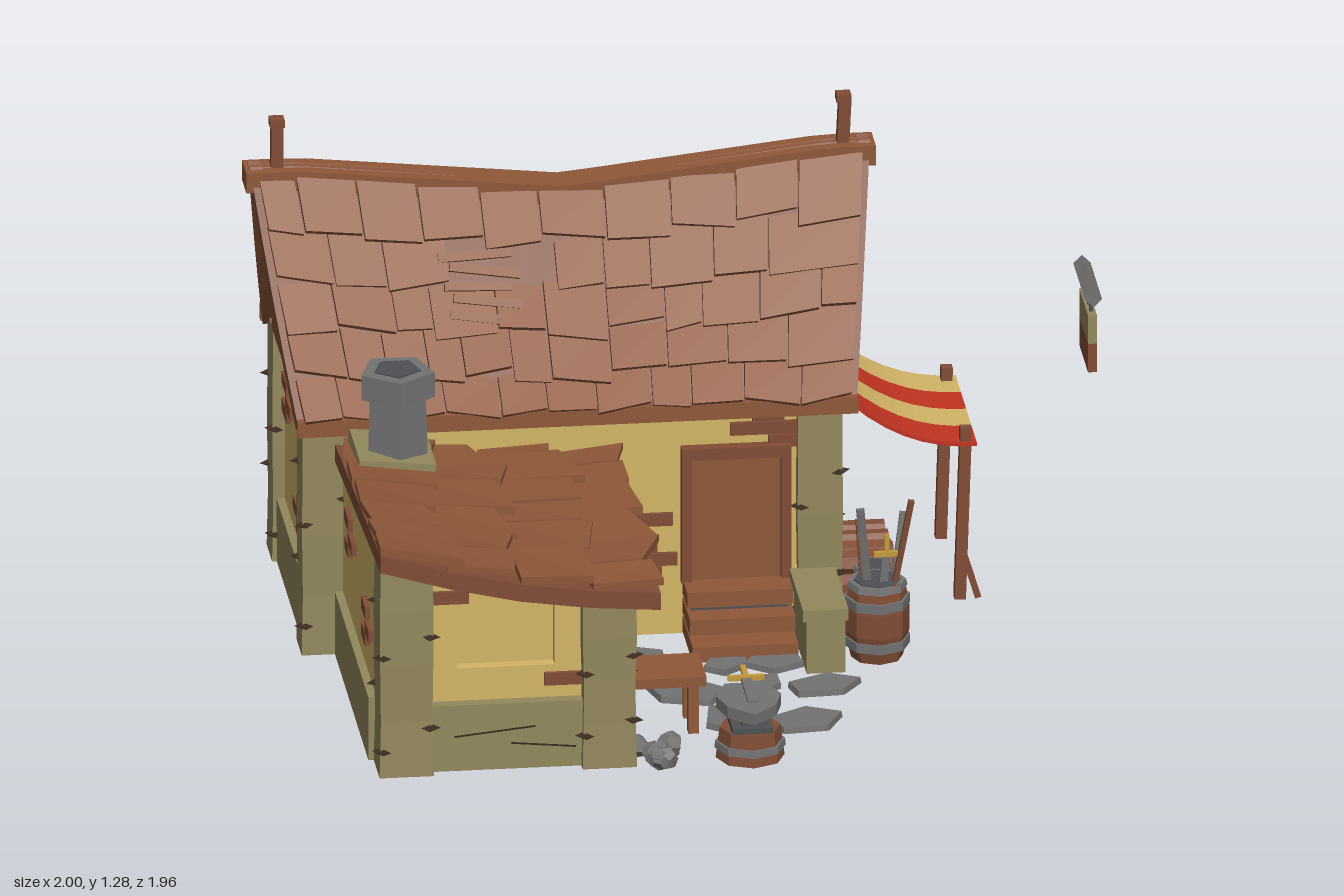
import * as THREE from 'three';
import { mergeGeometries } from 'three/addons/utils/BufferGeometryUtils.js';

const mat = (name, color, side = THREE.FrontSide) => new THREE.MeshStandardMaterial({ name, color, side });
const lerp = THREE.MathUtils.lerp;

export function createModel() {
  const shingle = mat('shingle brown', 0x8f5839), timber = mat('timber brown', 0x814d36),
    plaster = mat('plaster yellow', 0xd4b566, THREE.DoubleSide), oldWood = mat('weathered olive', 0x93885d),
    iron = mat('iron grey', 0x737373), darkIron = mat('dark iron', 0x4e5053),
    red = mat('red cloth', 0xc23422), gold = mat('gold', 0xc59a3c), crack = mat('dark crack', 0x3b2a1e);
  const model = new THREE.Group();
  let seed = 7;
  const rnd = () => ((seed = (seed * 16807) % 2147483647) / 2147483647);
  const jit = a => (rnd() - 0.5) * 2 * a;

  // Faceted geometry helpers
  const flat = g => { const f = g.index ? g.toNonIndexed() : g; f.computeVertexNormals(); return f; };
  const add = (name, material, ...geos) => {
    const m = new THREE.Mesh(mergeGeometries(geos.flat().map(flat)), material);
    m.name = name;
    model.add(m);
  };
  const place = (g, x, y, z, rx = 0, ry = 0, rz = 0) =>
    g.applyMatrix4(new THREE.Matrix4().makeRotationFromEuler(new THREE.Euler(rx, ry, rz)).setPosition(x, y, z));
  const bx = (w, h, d, x, y, z, rx, ry, rz) => place(new THREE.BoxGeometry(w, h, d), x, y, z, rx, ry, rz);
  const span = (x0, x1, y0, y1, z0, z1) => bx(x1 - x0, y1 - y0, z1 - z0, (x0 + x1) / 2, (y0 + y1) / 2, (z0 + z1) / 2);
  const cyl = (rt, rb, h, n, x, y, z, rx, ry, rz) => place(new THREE.CylinderGeometry(rt, rb, h, n), x, y, z, rx, ry, rz);
  const beam = (a, b, w, d = w) => {
    const A = new THREE.Vector3(...a), B = new THREE.Vector3(...b), dir = B.clone().sub(A);
    const g = new THREE.BoxGeometry(w, dir.length(), d);
    g.applyQuaternion(new THREE.Quaternion().setFromUnitVectors(new THREE.Vector3(0, 1, 0), dir.normalize()));
    return g.translate(...A.add(B).multiplyScalar(0.5).toArray());
  };
  const outline = pts => new THREE.Shape(pts.map(p => new THREE.Vector2(...p)));
  // Bends a box so that its sides follow the surface P(s, t, h)
  const warp = (P, s0, s1, t0, t1, h0, h1, ns = 1, nt = 1, lift = 0) => {
    const g = new THREE.BoxGeometry(1, 1, 1, ns, 1, nt).translate(0.5, 0.5, 0.5), p = g.attributes.position;
    for (let i = 0; i < p.count; i++) {
      const w = p.getZ(i);
      p.setXYZ(i, ...P(lerp(s0, s1, p.getX(i)), lerp(t0, t1, w), lerp(h0, h1, p.getY(i)) + lift * w));
    }
    return g;
  };
  // Rows of slightly crooked shingles
  const shingles = (P, rows, n, skip = () => false) => {
    const out = [];
    for (let r = 0; r < rows; r++) {
      let s = -1;
      while (s < 0.97) {
        let e = s + (2 / n) * (0.7 + rnd() * 0.6);
        if (e > 0.9) e = 1;
        const mid = (s + e) / 2, skew = jit(0.25);
        const Q = (a, t, h) => P(a, Math.max(0, t + skew * (a - mid)), h);
        if (!skip(mid, (r + 0.5) / rows))
          out.push(warp(Q, s + 0.004, e - 0.004, r / rows, Math.min((r + 1.12) / rows + jit(0.17 / rows), 1.0), 0, 0.014 + rnd() * 0.01, 1, 1, 0.02));
        s = e;
      }
    }
    return out;
  };

  // Main roof with sagging ridge
  const ridge = x => 1.05 + 0.07 * Math.min(1, Math.abs(x + 0.22) / 0.65);
  const slope = side => (s, t, h) => {
    const x = -0.225 + side * s * (0.745 - 0.07 * t);
    const y = lerp(ridge(x), 0.61, t) - 0.018 * Math.sin(Math.PI * t);
    return [x, y + h * 0.6, -0.33 + side * (0.03 + 0.345 * t + h * 0.8)];
  };
  for (const side of [1, -1]) {
    const P = slope(side), gap = (s, t) => side > 0 && s > -0.42 && s < -0.12 && t > 0.25 && t < 0.48;
    add('roofBoards', timber, warp(P, -1, 1, -0.05, 1, -0.025, 0, 16, 4));
    add('roofShingles', shingle, shingles(P, 5, 11.5, gap));
    for (const e of [-1, 1]) add('bargeBoard', timber, warp(P, e - 0.02, e + 0.02, -0.05, 1, -0.036, 0.008, 1, 4));
    add('eaveBoard', shingle, bx(1.38, 0.042, 0.02, -0.225, 0.606, -0.33 + side * 0.385));
  }
  add('exposedSlats', shingle, [0, 1, 2, 3, 4].map(i =>
    bx(0.15 + jit(0.03), 0.022, 0.02, -0.44 + jit(0.02), 0.82 + i * 0.032, -0.09 - i * 0.022, -0.5, 0, jit(0.15))));
  add('ridgeBeam', shingle, warp((s, t, h) => [s, ridge(s) + h, -0.33 + t], -1, 0.55, -0.046, 0.046, -0.025, 0.026, 20));
  add('ridgePosts', timber, [-0.92, 0.475].flatMap(x =>
    [bx(0.03, 0.16, 0.03, x, 1.18, -0.33, 0, 0, jit(0.05)), bx(0.036, 0.02, 0.036, x, 1.262, -0.33)]));

  // House walls, open underneath
  const gable = outline([[-0.66, 0], [0, 0], [0, 0.62], [-0.33, 1.1], [-0.66, 0.62]]);
  for (const x of [0.4, -0.84])
    add('gableWall', plaster, new THREE.ExtrudeGeometry(gable, { depth: 0.03, bevelEnabled: false }).rotateY(-Math.PI / 2).translate(x, 0, 0));
  add('frontWall', plaster, span(-0.86, 0.39, 0, 0.62, -0.03, 0));
  add('backWall', plaster, span(-0.86, 0.39, 0, 0.62, -0.66, -0.63));
  add('gableBeams', timber, span(0.39, 0.435, 0.61, 0.685, -0.6, -0.06), span(-0.9, -0.86, 0.61, 0.685, -0.6, -0.06));

  // Smithy walls with a recessed window
  const front = outline([[-0.8, 0], [-0.2, 0], [-0.2, 0.46], [-0.8, 0.58]]);
  front.holes.push(outline([[-0.61, 0.26], [-0.61, 0.42], [-0.37, 0.42], [-0.37, 0.26]]));
  add('smithyFrontWall', plaster, new THREE.ExtrudeGeometry(front, { depth: 0.03, bevelEnabled: false }).translate(0, 0, 0.77));
  add('smithyWindowPane', plaster, span(-0.62, -0.36, 0.25, 0.43, 0.765, 0.77));
  add('smithySideWall', plaster, span(-0.8, -0.77, 0, 0.56, 0, 0.79));

  // Weathered corner posts with dark splits along the edges
  const post = (x, z, h, w = 0.11) => {
    const g = new THREE.BoxGeometry(w, h, w, 1, 4, 1).translate(x, h / 2, z), p = g.attributes.position;
    for (let i = 0; i < p.count; i++) {
      const k = 1 + 0.03 * Math.cos(p.getY(i) * 17);
      p.setXYZ(i, x + (p.getX(i) - x) * k, p.getY(i), z + (p.getZ(i) - z) * k);
    }
    add('cornerPost', oldWood, g);
    const marks = [];
    for (let i = 0; i < 8; i++) {
      const e = i % 2 ? 1 : -1, f = i % 4 < 2 ? 1 : -1;
      marks.push(place(new THREE.OctahedronGeometry(1).scale(0.028, 0.012, 0.028),
        x + e * (w / 2 - 0.008), 0.08 + (i / 8) * (h - 0.1) + jit(0.02), z + f * (w / 2 - 0.008), 0, 0, jit(0.2)));
    }
    add('postSplits', crack, marks);
  };
  post(0.375, -0.02, 0.62); post(0.375, -0.635, 0.61); post(-0.845, -0.635, 0.61); post(-0.845, -0.02, 0.62);
  post(-0.74, 0.785, 0.58, 0.13); post(-0.24, 0.785, 0.46, 0.13);

  // Weathered base boards
  add('baseBoards', oldWood,
    span(0.395, 0.42, 0, 0.165, -0.6, -0.06), span(-0.89, -0.865, 0, 0.165, -0.6, -0.06),
    span(-0.8, 0.33, 0, 0.165, -0.685, -0.655), span(-0.82, -0.795, 0, 0.165, 0.03, 0.73), span(-0.69, -0.3, 0, 0.165, 0.795, 0.825),
    span(0.395, 0.425, 0.15, 0.18, -0.6, -0.06), span(-0.8, 0.33, 0.15, 0.18, -0.69, -0.655), span(-0.69, -0.3, 0.15, 0.175, 0.795, 0.832));
  add('boardGrain', crack, bx(0.2, 0.004, 0.004, -0.52, 0.1, 0.825, 0, 0, 0.1), bx(0.16, 0.004, 0.004, -0.4, 0.06, 0.825, 0, 0, -0.1),
    bx(0.4, 0.004, 0.004, -0.1, 0.09, -0.685, 0, 0, 0.03), bx(0.3, 0.004, 0.004, -0.55, 0.06, -0.685));

  // Exposed bricks: walls along x take [x, y], walls along z take [z, y]
  const bricks = (alongX, at, list) => add('bricks', timber, list.map(([a, y]) => {
    const w = 0.085 + jit(0.015);
    return alongX ? bx(w, 0.032, 0.02, a, y, at) : bx(0.02, 0.032, w, at, y, a);
  }));
  bricks(true, 0.002, [[-0.11, 0.27], [-0.03, 0.305], [-0.06, 0.235], [-0.11, 0.2], [-0.02, 0.2], [-0.06, 0.165], [0.2, 0.535], [0.28, 0.535], [0.25, 0.57], [0.3, 0.5], [-0.1, 0.13]]);
  bricks(true, 0.802, [[-0.62, 0.52], [-0.55, 0.485], [-0.63, 0.45], [-0.46, 0.485], [-0.35, 0.225], [-0.39, 0.465]]);
  bricks(false, 0.402, [[-0.14, 0.235], [-0.22, 0.235], [-0.18, 0.27], [-0.26, 0.27], [-0.22, 0.305], [-0.3, 0.305], [-0.27, 0.34], [-0.35, 0.34], [-0.32, 0.375], [-0.4, 0.375], [-0.37, 0.41], [-0.44, 0.41]]);
  bricks(true, -0.662, [[0.28, 0.5], [0.2, 0.465], [0.26, 0.43], [0.18, 0.5], [0.24, 0.27], [-0.5, 0.31], [-0.58, 0.345], [-0.52, 0.38], [-0.68, 0.28], [-0.6, 0.245], [-0.7, 0.5], [-0.63, 0.465], [-0.72, 0.43], [0.2, 0.235]]);
  bricks(false, -0.872, [[-0.5, 0.5], [-0.43, 0.465], [-0.5, 0.43], [-0.2, 0.3], [-0.27, 0.265], [-0.2, 0.23]]);
  bricks(false, -0.802, [[0.2, 0.42], [0.27, 0.385], [0.2, 0.35], [0.55, 0.26], [0.62, 0.295], [0.55, 0.33]]);

  // Window frames
  add('backWindowFrame', timber, span(-0.15, 0.07, 0.47, 0.5, -0.69, -0.655), span(-0.15, 0.07, 0.23, 0.26, -0.69, -0.655),
    span(-0.15, -0.12, 0.23, 0.49, -0.685, -0.655), span(0.035, 0.07, 0.23, 0.49, -0.685, -0.655));
  add('gableWindowFrame', timber, span(0.395, 0.42, 0.872, 0.89, -0.43, -0.23), span(0.395, 0.42, 0.775, 0.793, -0.43, -0.23),
    span(0.395, 0.415, 0.78, 0.88, -0.43, -0.415), span(0.395, 0.415, 0.78, 0.88, -0.245, -0.23));

  // Door, steps and low side wall
  add('door', shingle, span(0.055, 0.285, 0.14, 0.475, 0, 0.015));
  add('doorFrame', timber, span(0.035, 0.06, 0.14, 0.49, 0, 0.03), span(0.28, 0.305, 0.14, 0.49, 0, 0.03), span(0.035, 0.305, 0.465, 0.495, 0, 0.032));
  add('doorSteps', shingle, [0, 1, 2].map(i => span(0.04, 0.3, i * 0.05 + 0.005, i * 0.05 + 0.045, 0, 0.21 - i * 0.055)));
  add('stepSupport', darkIron, span(0.05, 0.29, 0, 0.1, 0, 0.09));
  add('stepWall', oldWood, span(0.31, 0.405, 0, 0.15, 0.03, 0.3), span(0.3, 0.412, 0.14, 0.17, 0.03, 0.31));

  // Smithy lean-to roof
  const lean = (s, t, h) => {
    const z = 0.49 - s * 0.487 - 0.04 * t * (1 - s);
    return [-0.82 + 0.7 * t, lerp(0.55 + 0.09 * z, 0.475, t) - 0.025 * Math.sin(Math.PI * t) + h, z];
  };
  add('smithyRoofBoards', timber, warp(lean, -1, 1, 0, 1, -0.045, 0, 6, 4));
  add('smithyShingles', shingle, shingles(lean, 4, 5.5));
  add('smithyFrame', timber, span(-0.225, -0.185, 0.405, 0.445, 0, 0.8), span(-0.225, -0.19, 0, 0.42, 0.01, 0.05),
    beam([-0.205, 0.3, 0.7], [-0.205, 0.42, 0.57], 0.025), beam([-0.205, 0.3, 0.05], [-0.205, 0.42, 0.17], 0.025),
    span(-0.77, -0.2, 0.4, 0.435, 0.01, 0.04));

  // Chimney and forge
  add('chimneyBase', oldWood, bx(0.19, 0.04, 0.21, -0.695, 0.575, 0.17, 0, 0, -0.1));
  add('chimney', iron, cyl(0.072, 0.078, 0.2, 5, -0.685, 0.66, 0.18), cyl(0.095, 0.095, 0.065, 5, -0.685, 0.77, 0.18));
  add('chimneyMouth', darkIron, cyl(0.06, 0.06, 0.004, 5, -0.685, 0.804, 0.18));
  add('forge', iron, cyl(0.13, 0.15, 0.2, 8, -0.47, 0.1, 0.18));
  add('forgeHood', timber, cyl(0.08, 0.14, 0.07, 8, -0.47, 0.235, 0.18),
    place(new THREE.TorusGeometry(0.075, 0.022, 4, 8, Math.PI), -0.33, 0.1, 0.18, 0, Math.PI / 2), span(-0.36, -0.3, 0.05, 0.1, 0.08, 0.28));
  add('forgeMouth', crack, cyl(0.07, 0.07, 0.006, 10, -0.332, 0.11, 0.18, 0, 0, Math.PI / 2));

  // Striped awning on poles
  const cloth = (s, t, h) => [0.42 + 0.36 * t, 0.405 + 0.175 * (1 - t) ** 2.3 + h, -s];
  [red, plaster, red, plaster].forEach((m, i) =>
    add('awningStripe', m, warp(cloth, 0.13 + i * 0.11, 0.24 + i * 0.11, 0, 1, 0, 0.01, 1, 8)));
  add('awningPoles', timber, ...[-0.15, -0.545].map(z => beam([0.74, 0, z], [0.755, 0.45, z], 0.028)),
    beam([0.785, 0, -0.15], [0.74, 0.15, -0.15], 0.016), beam([0.43, 0.58, -0.12], [0.43, 0.58, -0.58], 0.015));

  // Barrels, weapons and firewood
  const barrel = (x, z, r, h) => {
    const prof = [[0, 0], [r * 0.8, 0], [r, h * 0.35], [r, h * 0.65], [r * 0.85, h], [r * 0.7, h], [r * 0.7, h * 0.9]];
    add('barrel', timber, place(new THREE.LatheGeometry(prof.map(p => new THREE.Vector2(...p)), 8), x, 0, z));
    add('barrelHoops', iron, [0.22, 0.75].map(k => cyl(r * 1.02, r * 1.02, h * 0.12, 8, x, h * k, z)), cyl(r * 0.89, r * 0.94, h * 0.08, 8, x, h * 0.96, z));
    add('barrelInside', darkIron, cyl(r * 0.72, r * 0.72, 0.006, 8, x, h, z));
  };
  barrel(0.495, 0.2, 0.08, 0.2);
  barrel(0.515, -0.03, 0.055, 0.145);
  add('barrelBlades', iron, beam([0.48, 0.1, 0.19], [0.45, 0.4, 0.23], 0.02, 0.008), beam([0.53, 0.1, 0.18], [0.565, 0.36, 0.16], 0.018, 0.008), beam([0.5, 0.1, 0.22], [0.515, 0.27, 0.22], 0.02, 0.008));
  add('spearShafts', timber, beam([0.52, 0.1, 0.21], [0.575, 0.42, 0.24], 0.014), beam([0.47, 0.1, 0.17], [0.455, 0.34, 0.15], 0.014));
  add('swordHilt', gold, bx(0.06, 0.012, 0.014, 0.515, 0.275, 0.22), bx(0.012, 0.05, 0.012, 0.517, 0.3, 0.22));
  add('firewood', timber, [0, 1].flatMap(r => Array.from({ length: 5 - r }, (_, i) =>
    cyl(0.032, 0.032, 0.17 + jit(0.02), 7, 0.51 + jit(0.01), 0.032 + r * 0.046, -0.18 - i * 0.064 - r * 0.032, rnd(), 0, Math.PI / 2))));

  // Bench, anvil and coal
  add('bench', shingle, span(-0.36, 0.02, 0.13, 0.155, 0.51, 0.67),
    [-0.33, -0.01].flatMap(x => [0.54, 0.64].map(z => span(x - 0.013, x + 0.013, 0, 0.13, z - 0.013, z + 0.013))));
  add('stump', timber, cyl(0.075, 0.085, 0.08, 8, 0.11, 0.04, 0.81));
  add('stumpBand', iron, cyl(0.086, 0.088, 0.018, 8, 0.11, 0.035, 0.81));
  add('anvilFoot', darkIron, span(0.06, 0.16, 0.08, 0.095, 0.75, 0.87), span(0.085, 0.135, 0.09, 0.12, 0.77, 0.85));
  const face = outline([[-0.05, -0.1], [0.05, -0.1], [0.08, -0.02], [0.06, 0.05], [0, 0.11], [-0.06, 0.05], [-0.08, -0.02]]);
  add('anvil', iron, place(new THREE.ExtrudeGeometry(face, { depth: 0.03, bevelEnabled: false }), 0.11, 0.148, 0.8, Math.PI / 2));
  add('workSword', gold, bx(0.09, 0.012, 0.014, 0.115, 0.155, 0.685), bx(0.014, 0.012, 0.07, 0.115, 0.155, 0.65));
  add('workBlade', iron, bx(0.026, 0.008, 0.15, 0.115, 0.152, 0.76));
  add('coal', iron, Array.from({ length: 9 }, () => place(new THREE.DodecahedronGeometry(0.024 + rnd() * 0.01), -0.12 + jit(0.045), 0.022, 0.8 + jit(0.08), rnd(), rnd())));

  // Paving stones
  const paving = [[-0.1, 0.16, 0.08], [0, 0.4, 0.1], [0.19, 0.38, 0.065], [0.34, 0.4, 0.09], [0.27, 0.62, 0.09], [0.09, 0.59, 0.09], [0.12, 0.23, 0.065], [0.24, 0.23, 0.07],
    [-0.22, 0.32, 0.09], [-0.35, 0.45, 0.08], [-0.25, 0.55, 0.08], [-0.45, 0.62, 0.08]];
  add('pavingStones', iron, paving.map(([x, z, r]) =>
    place(new THREE.CylinderGeometry(r * 0.97, r, 0.016, 5).scale(0.85 + jit(0.2), 1, 1.1), x, 0.009, z, 0, rnd() * 6)));

  // Ladder leaning on the back eave
  const up = t => [lerp(0, 0.69, t), lerp(-0.97, -0.73, t)];
  add('ladder', timber, [-0.46, -0.32].map(x => beam([x, ...up(0)], [x, ...up(1)], 0.022, 0.026)),
    Array.from({ length: 9 }, (_, i) => bx(0.155, 0.018, 0.02, -0.39, ...up(0.08 + i * 0.105), 0, 0, jit(0.08))));

  // Hanging sign
  add('signBar', iron, bx(0.03, 0.03, 0.24, 0.978, 1.085, 0.5, 0, 0, Math.PI / 4));
  add('signLinks', darkIron, [0.43, 0.475, 0.525, 0.57].map(z => bx(0.008, 0.045, 0.012, 0.978, 1.05, z)));
  add('signUpper', oldWood, span(0.967, 0.989, 0.96, 1.035, 0.42, 0.6));
  add('signLower', timber, span(0.967, 0.989, 0.885, 0.96, 0.42, 0.6));
  return model;
}
